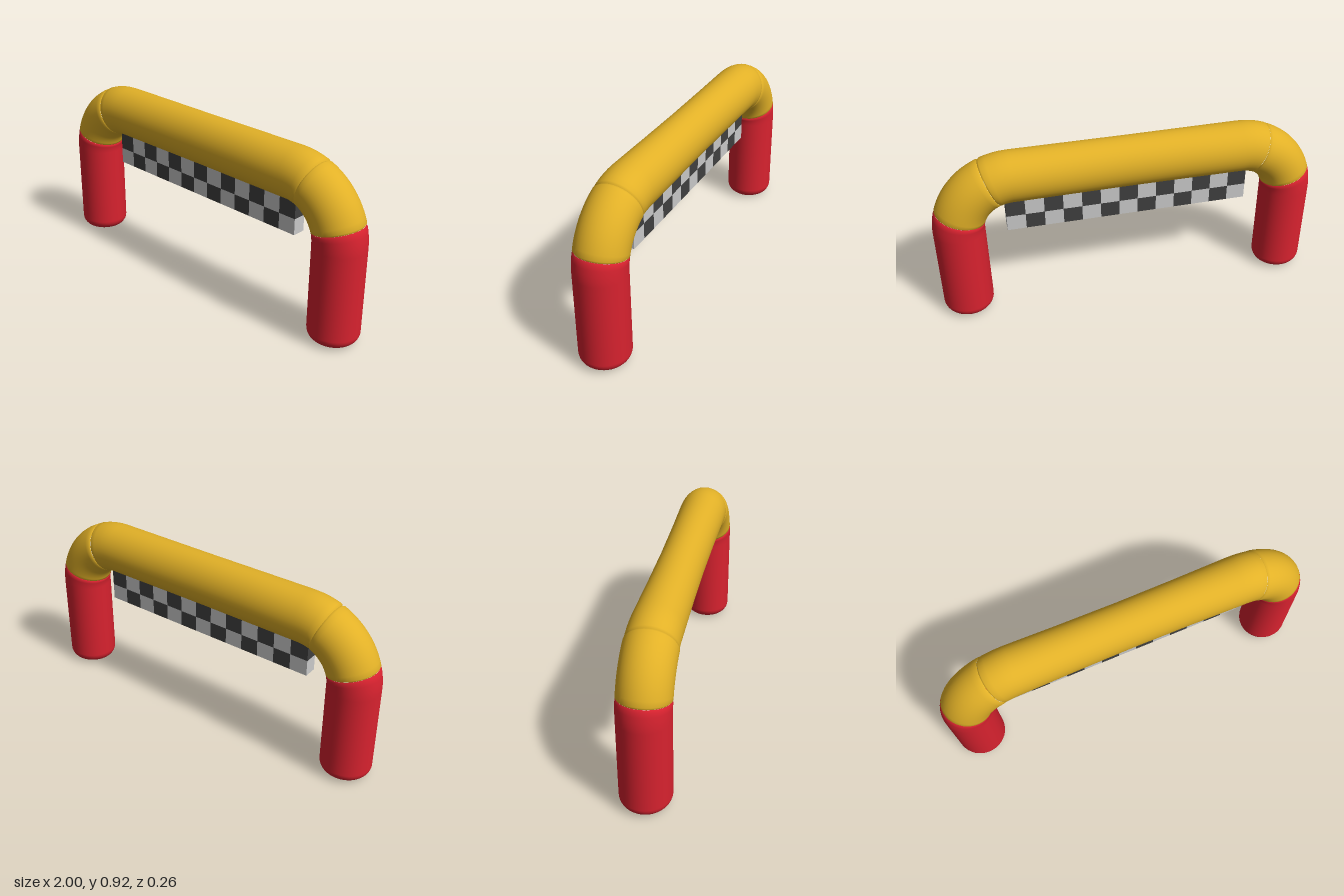
import * as THREE from 'three';

const LEG_X = 0.87, BEND_X = 0.59, BEND_Y = 0.505, BEND_R = 0.28;
const RADIUS = 0.131, SIDES = 40;
const LEG_JOINT = 17, BEAM_JOINT = 68; // seam positions along the bend, degrees

const material = (name, color) => {
  const m = new THREE.MeshStandardMaterial({ color });
  m.name = name;
  return m;
};

// A cross-section: centre, direction angle in degrees, in-plane radius, depth radius
const section = (x, y, deg, r = RADIUS, rz = 0.128) => ({ x, y, a: THREE.MathUtils.degToRad(deg), r, rz });

// Cross-section on the right (+x) bend
function onBend(deg, r, rz) {
  const a = THREE.MathUtils.degToRad(deg);
  return section(BEND_X + BEND_R * Math.cos(a), BEND_Y + BEND_R * Math.sin(a), deg, r, rz);
}

// Same cross-sections mirrored to the other side, in reverse order
const mirrored = (list) => list.map((s) => ({ ...s, x: -s.x, a: Math.PI - s.a })).reverse();

// Skin a row of elliptical cross-sections with a smooth surface
function sweep(name, sections, mat) {
  const pos = [], index = [];
  sections.forEach((s, i) => {
    for (let j = 0; j < SIDES; j++) {
      const t = (j / SIDES) * Math.PI * 2, n = s.r * Math.cos(t);
      pos.push(s.x + n * Math.cos(s.a), s.y + n * Math.sin(s.a), s.rz * Math.sin(t));
      if (i < sections.length - 1) {
        const k = (j + 1) % SIDES, p = i * SIDES, q = p + SIDES;
        index.push(p + j, q + j, p + k, p + k, q + j, q + k);
      }
    }
  });
  const geo = new THREE.BufferGeometry();
  geo.setAttribute('position', new THREE.Float32BufferAttribute(pos, 3));
  geo.setIndex(index);
  geo.computeVertexNormals();
  const mesh = new THREE.Mesh(geo, mat);
  mesh.name = name;
  return mesh;
}

export function createModel() {
  const group = new THREE.Group();
  group.name = 'inflatableArch';
  const red = material('red', 0xd8222f);
  const yellow = material('yellow', 0xe2b127);
  const dark = material('charcoal', 0x404040);
  const light = material('lightGrey', 0xcacaca);

  // Leg: rounded foot, straight tube, start of the bend, pinched seam
  const leg = [section(LEG_X, 0, 0, 0, 0), section(LEG_X, 0.001, 0, 0.04, 0.04)];
  const round = 0.055;
  for (let i = 0; i <= 8; i++) {
    const t = (i / 8) * Math.PI / 2;
    const inset = round * (1 - Math.sin(t));
    leg.push(section(LEG_X, 0.003 + round * (1 - Math.cos(t)), 0, RADIUS - inset, 0.128 - inset));
  }
  leg.push(section(LEG_X, 0.28, 0), section(LEG_X, BEND_Y, 0));
  for (const d of [4, 8, 12, 15.5]) leg.push(onBend(d));
  leg.push(onBend(LEG_JOINT, 0.124, 0.121));

  // Elbow: the middle of the bend, pinched at both seams
  const elbow = [onBend(LEG_JOINT, 0.123, 0.12)];
  for (let i = 0; i <= 12; i++) {
    elbow.push(onBend(THREE.MathUtils.lerp(LEG_JOINT + 1.5, BEAM_JOINT - 1.5, i / 12)));
  }
  elbow.push(onBend(BEAM_JOINT, 0.124, 0.121));

  // Crossbeam: slightly slimmer from front to back at mid-span
  const half = [onBend(BEAM_JOINT, 0.124, 0.119)];
  for (const d of [69.5, 74, 79, 84, 90]) half.push(onBend(d, 0.133, 0.125));
  half.push(section(0.3, 0.785, 90, 0.134, 0.119));
  const beam = [...half, section(0, 0.785, 90, 0.134, 0.116), ...mirrored(half)];

  group.add(
    sweep('leftLeg', leg, red),
    sweep('rightLeg', mirrored(leg), red),
    sweep('leftElbow', elbow, yellow),
    sweep('rightElbow', mirrored(elbow), yellow),
    sweep('crossbeam', beam, yellow),
  );

  // Chequered banner hanging under the crossbeam
  const banner = new THREE.Group();
  banner.name = 'chequeredBanner';
  const columns = 13, width = 1.26 / columns;
  const rows = [[0.48, 0.565], [0.565, 0.67]];
  rows.forEach(([bottom, top], r) => {
    const geo = new THREE.BoxGeometry(width, top - bottom, 0.07);
    for (let c = 0; c < columns; c++) {
      const tile = new THREE.Mesh(geo, (r + c) % 2 ? dark : light);
      tile.name = 'bannerTile';
      tile.position.set((c - (columns - 1) / 2) * width, (bottom + top) / 2, 0);
      banner.add(tile);
    }
  });
  group.add(banner);
  return group;
}
